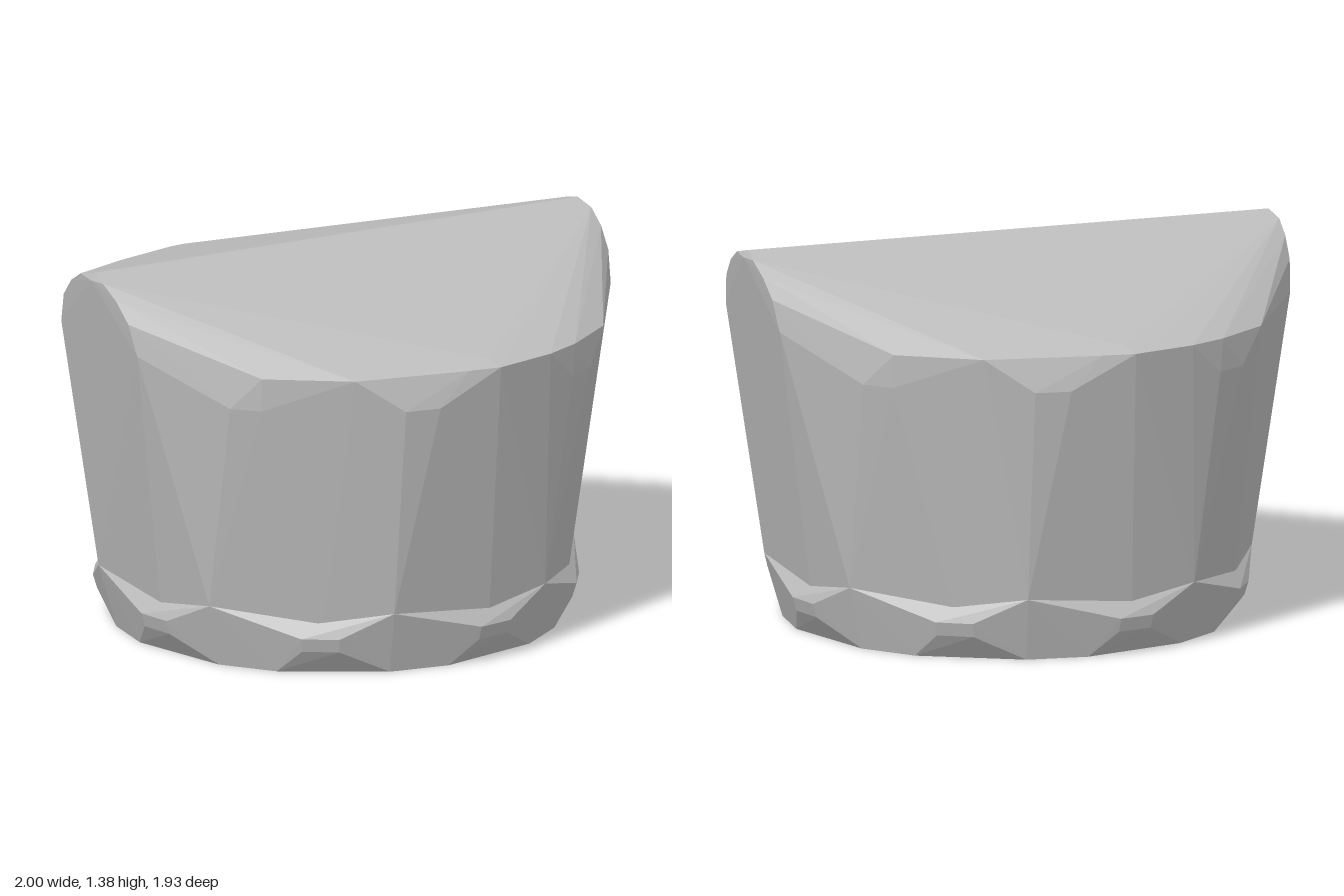
import * as THREE from 'three';
import { ConvexGeometry } from 'three/addons/geometries/ConvexGeometry.js';

// point on a ring: angle in degrees from the front (+z) towards +x
function ringPoint(angle, radius, y) {
  const a = THREE.MathUtils.degToRad(angle);
  return new THREE.Vector3(Math.sin(a) * radius, y, Math.cos(a) * radius);
}

export function createModel() {
  const group = new THREE.Group();
  const grey = new THREE.MeshStandardMaterial({ color: 0xbcbcbc });
  grey.name = 'stoneGrey';

  function addHull(name, points) {
    const mesh = new THREE.Mesh(new ConvexGeometry(points), grey);
    mesh.name = name;
    group.add(mesh);
  }

  // chamfered foot with eight raised corners and low ledges between them
  const foot = [];
  for (let i = 0; i < 8; i++) {
    const a = i * 45;
    foot.push(ringPoint(a, 0.8, 0), ringPoint(a - 16, 0.8, 0));
    for (const side of [-38, -29]) {
      foot.push(ringPoint(a + side, 0.845, 0.09), ringPoint(a + side, 0.86, 0.14));
    }
    foot.push(ringPoint(a - 16, 0.865, 0.23));
  }
  addHull('foot', foot);

  // faceted flaring body under a shallow ridged top
  const body = [];
  for (let i = 0; i < 8; i++) {
    body.push(ringPoint(i * 45 - 16, 0.865, 0.23), ringPoint(i * 45 - 33.5, 0.82, 0.14));
  }
  // one half of the upper outline, repeated by a half turn
  const upper = [
    // chamfer tips
    [-0.25, 1.0, 0.935], [-0.12, 1.0, 0.955], [0.49, 1.0, 0.83], [0.6, 1.0, 0.76],
    [-0.77, 1.0, 0.59], [-0.69, 1.0, 0.675],
    // front rim and roof apex
    [-0.69, 1.12, 0.68], [-0.42, 1.12, 0.87], [0, 1.12, 0.95], [0.12, 1.12, 0.965],
    [0.36, 1.12, 0.9], [0.5, 1.12, 0.83], [0.7, 1.12, 0.68], [0.1, 1.14, 0.91],
    // rounded gable at the side
    [0.965, 1.14, 0.27], [0.965, 1.14, -0.27], [0.978, 1.25, 0.23], [0.978, 1.25, -0.23],
    [0.988, 1.32, 0.16], [0.988, 1.32, -0.16], [0.995, 1.365, 0.08], [0.995, 1.365, -0.08],
    [1, 1.36, 0], [0.985, 1.385, 0],
  ];
  for (const [x, y, z] of upper) {
    body.push(new THREE.Vector3(x, y, z), new THREE.Vector3(-x, y, -z));
  }
  addHull('body', body);

  return group;
}
